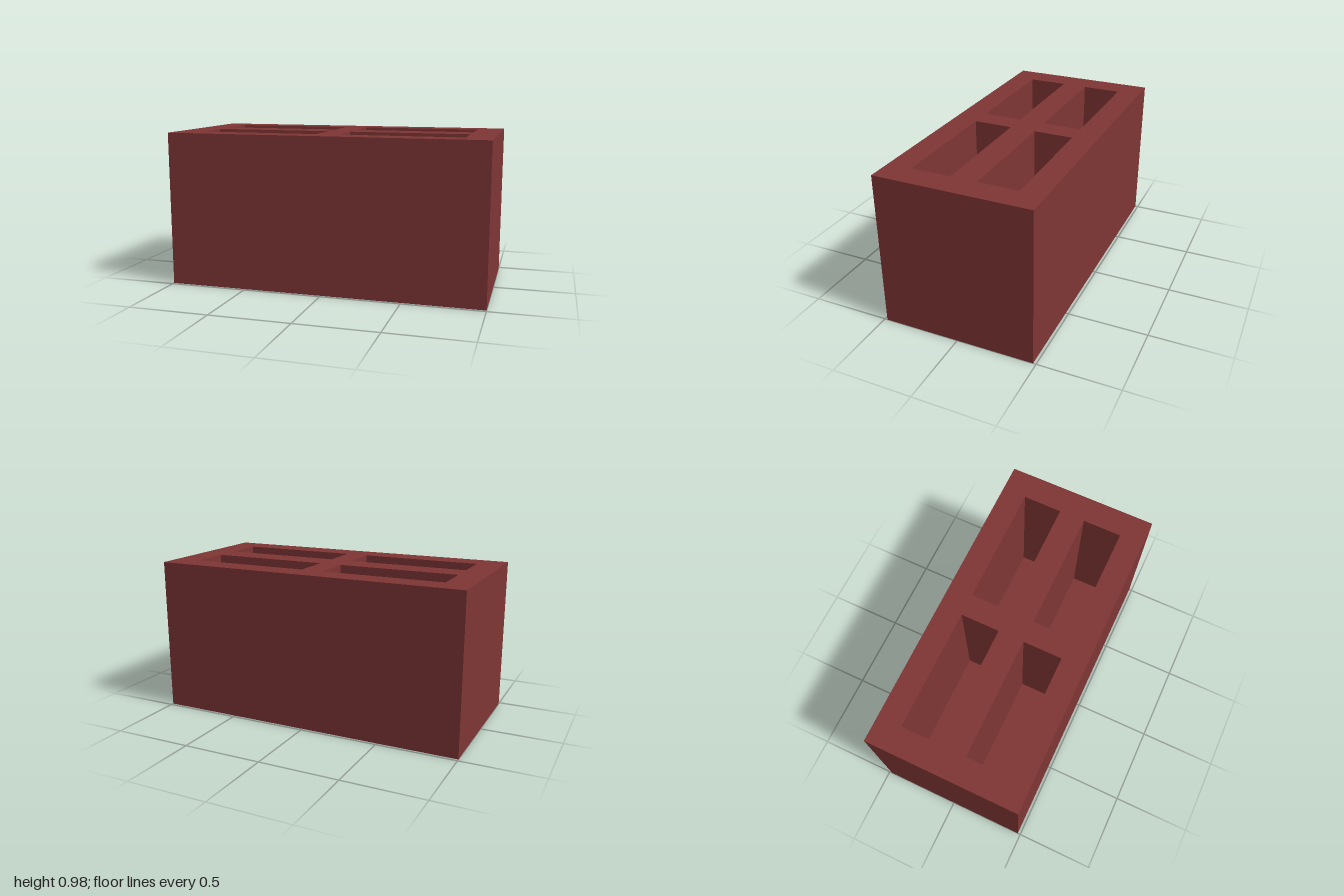
import * as THREE from 'three';

const WIDTH = 2, HEIGHT = 0.975, DEPTH = 0.964, FLOOR = 0.15;
const X_IN = 0.072, X_OUT = 0.836, Z_IN = 0.082, Z_OUT = 0.33;

// Rectangle outline from corner (x0, y0) to corner (x1, y1)
function rect(PathType, x0, y0, x1, y1) {
  return new PathType([
    new THREE.Vector2(x0, y0), new THREE.Vector2(x1, y0),
    new THREE.Vector2(x1, y1), new THREE.Vector2(x0, y1),
  ]);
}

export function createModel() {
  const model = new THREE.Group();
  model.name = 'brick';
  const clay = new THREE.MeshStandardMaterial({ color: 0x7f3535 });
  clay.name = 'red clay';

  // Block walls with four open pockets, extruded upwards
  const outline = rect(THREE.Shape, -WIDTH / 2, -DEPTH / 2, WIDTH / 2, DEPTH / 2);
  for (const sx of [-1, 1]) {
    for (const sz of [-1, 1]) {
      outline.holes.push(rect(THREE.Path, sx * X_IN, sz * Z_IN, sx * X_OUT, sz * Z_OUT));
    }
  }
  const wallGeometry = new THREE.ExtrudeGeometry(outline, { depth: HEIGHT, bevelEnabled: false });
  wallGeometry.rotateX(-Math.PI / 2);
  const walls = new THREE.Mesh(wallGeometry, clay);
  walls.name = 'walls';
  model.add(walls);

  // Solid floor plugging the bottom of each pocket
  for (const sx of [-1, 1]) {
    for (const sz of [-1, 1]) {
      const plug = new THREE.Mesh(new THREE.BoxGeometry(X_OUT - X_IN, FLOOR, Z_OUT - Z_IN), clay);
      plug.name = 'pocketFloor';
      plug.position.set(sx * (X_IN + X_OUT) / 2, FLOOR / 2, sz * (Z_IN + Z_OUT) / 2);
      model.add(plug);
    }
  }
  return model;
}
